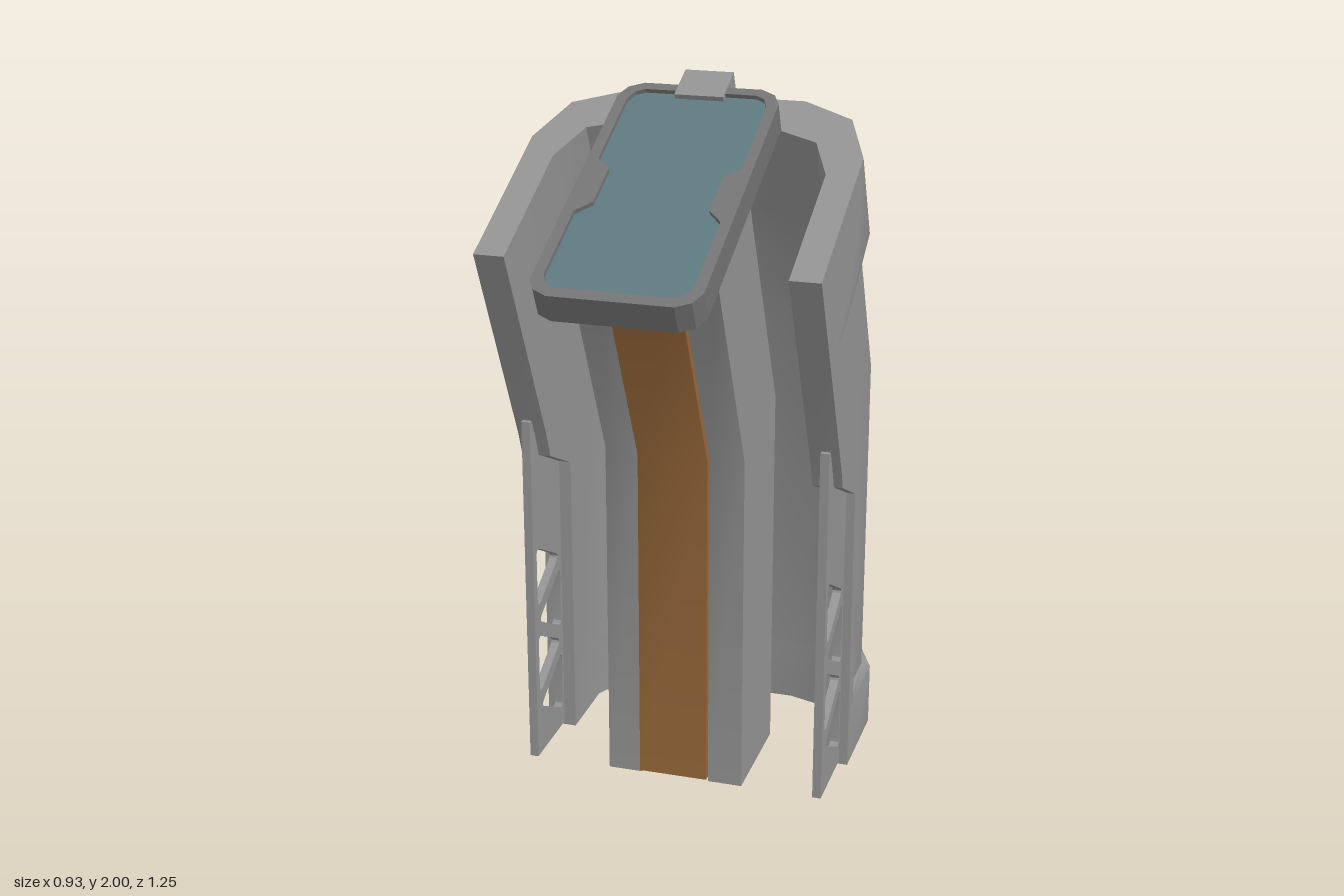
import * as THREE from 'three';
import { toCreasedNormals } from 'three/addons/utils/BufferGeometryUtils.js';

const GREY = 0x939393, DARK = 0x747474, ORANGE = 0x98683a, TEAL = 0x5d797e;
const LEAN = 0.477; // forward lean of the upper half, dz per dy
const SMOOTH = 0.8; // crease angle that keeps only the square edges sharp

function part(name, geometry, color = GREY, crease = 0.35) {
  const mesh = new THREE.Mesh(
    toCreasedNormals(geometry, crease),
    new THREE.MeshStandardMaterial({ color })
  );
  mesh.name = name;
  return mesh;
}

// Height of the elbow for a line that starts at depth z
const bend = z => 1.05 - (z + 0.185) * (z > -0.185 ? 0.175 : 0.5);
const level = y => () => y;
// Height at which a leaning line meets the sloped plane y = c - s * z
const slope = (c, s = 0.47) => z => (c - s * z + s * LEAN * bend(z)) / (1 + s * LEAN);
const collarFoot = slope(1.44), collarEdge = slope(1.485), shellTop = slope(1.77), barTop = slope(1.792, 0.455);

// Place a section [x, z] at heights given by a rule, following the elbow
const ring = (pts, heightAt) => pts.map(([x, z]) => {
  const y = heightAt(z);
  return [x, y, z + Math.max(0, y - bend(z)) * LEAN];
});

// Skin closed rings from bottom to top, with end caps
function loft(rings) {
  const flat = r => r.map(p => new THREE.Vector2(p[0], p[2]));
  if (THREE.ShapeUtils.area(flat(rings[0])) < 0) rings = rings.map(r => [...r].reverse());
  const n = rings[0].length, last = rings.length - 1, index = [];
  for (let k = 0; k < last; k++) {
    for (let i = 0; i < n; i++) {
      const a = k * n + i, b = k * n + (i + 1) % n;
      index.push(a, a + n, b, b, a + n, b + n);
    }
  }
  for (const [a, b, c] of THREE.ShapeUtils.triangulateShape(flat(rings[0]), [])) {
    index.push(a, b, c, last * n + a, last * n + c, last * n + b);
  }
  const g = new THREE.BufferGeometry();
  g.setAttribute('position', new THREE.Float32BufferAttribute(rings.flat(2), 3));
  g.setIndex(index);
  return g;
}

const mirrorPath = half => [...half, ...[...half].reverse().map(([x, z]) => [-x, z])];

// U-shaped section: outer half path, and the shared inner half path
function uSection(outer, endZ) {
  const inner = [[0.38, endZ], [0.38, -0.35], [0.325, -0.468], [0.2, -0.51]];
  return [...mirrorPath(outer), ...mirrorPath(inner).reverse()];
}
const thick = [[0.465, -0.185], [0.465, -0.42], [0.4, -0.565], [0.255, -0.626]];
const thin = [[0.445, -0.39], [0.38, -0.54], [0.255, -0.6]];
const fullU = endZ => uSection([[0.465, endZ], ...thick], endZ);
const taperU = endZ => uSection([[0.465, endZ], [0.465, -0.185], ...thin], endZ);

const rect = (x0, x1, z0, z1) => [[x0, z0], [x1, z0], [x1, z1], [x0, z1]];

// Polygon with softly rounded corners
function roundedPath(points, r) {
  const v = points.map(p => new THREE.Vector2(...p)), path = new THREE.Path();
  v.forEach((p, i) => {
    const prev = v[(i + v.length - 1) % v.length], next = v[(i + 1) % v.length];
    const a = p.clone().add(prev.clone().sub(p).setLength(r));
    const b = p.clone().add(next.clone().sub(p).setLength(r));
    if (i) path.lineTo(a.x, a.y); else path.moveTo(a.x, a.y);
    path.quadraticCurveTo(p.x, p.y, b.x, b.y);
  });
  path.closePath();
  return path;
}

// Thin side panel with a row of alternating triangular cut-outs
function latticeGeometry() {
  const shape = new THREE.Shape(rect(-0.14, 0.1, 0.01, 1.06).map(p => new THREE.Vector2(...p)));
  for (let i = 0; i < 4; i++) {
    const y = 0.572 - i * 0.138, [base, tip] = i % 2 ? [-0.118, 0.065] : [0.073, -0.112];
    shape.holes.push(roundedPath([[base, y - 0.097], [base, y + 0.097], [tip, y]], 0.03));
  }
  return new THREE.ExtrudeGeometry(shape, { depth: 0.025, bevelEnabled: false, curveSegments: 4 })
    .rotateY(-Math.PI / 2);
}

// Flat slab lying in the xz plane between heights y0 and y1
function slab(outline, y0, y1, hole) {
  const toVec = list => list.map(p => new THREE.Vector2(...p));
  const shape = new THREE.Shape(toVec(outline));
  if (hole) shape.holes.push(new THREE.Path(toVec(hole)));
  return new THREE.ExtrudeGeometry(shape, { depth: y1 - y0, bevelEnabled: false })
    .rotateX(-Math.PI / 2).translate(0, y0, 0);
}

function createLid() {
  const lid = new THREE.Group();
  lid.name = 'lid';
  const rim = mirrorPath([[0.165, -0.446], [0.205, -0.425], [0.225, -0.385],
    [0.225, 0.385], [0.205, 0.425], [0.165, 0.446]]);
  const opening = mirrorPath([[0.155, -0.412], [0.18, -0.4], [0.195, -0.365], [0.195, -0.115], [0.155, -0.073],
    [0.155, 0.066], [0.195, 0.104], [0.195, 0.37], [0.18, 0.405], [0.155, 0.418]]);
  lid.add(
    part('lidBase', slab(rim, -0.082, -0.03), DARK),
    part('lidRim', slab(rim, -0.03, 0, opening), DARK),
    part('lidPane', slab(opening, -0.03, -0.012), TEAL),
    part('hinge', new THREE.BoxGeometry(0.137, 0.11, 0.115).translate(0, -0.053, -0.457))
  );
  lid.position.set(0, 1.785, 0.215);
  lid.rotation.x = THREE.MathUtils.degToRad(24.5);
  return lid;
}

export function createModel() {
  const model = new THREE.Group();
  model.name = 'bentSheath';

  // Shell: recessed body between a base band and a collar
  const body = uSection([[0.445, -0.185], ...thin], -0.185);
  model.add(
    part('shellBody', loft([ring(body, level(0.19)), ring(body, bend), ring(body, collarFoot)]), GREY, SMOOTH),
    part('baseBand', loft([ring(fullU(-0.13), level(0)), ring(fullU(-0.13), level(0.185)),
      ring(taperU(-0.13), level(0.205))]), GREY, SMOOTH),
    part('collar', loft([ring(taperU(0.06), collarFoot), ring(fullU(0.06), collarEdge),
      ring(fullU(0.06), shellTop)]), GREY, SMOOTH)
  );

  // Side trims, upper cheeks and lattice panels on both sides
  for (const [side, s] of [['left', 1], ['right', -1]]) {
    const strip = (z0, z1) => rect(0.38 * s, 0.465 * s, z0, z1);
    const trim = strip(-0.185, -0.13), cheek = strip(-0.13, 0.06);
    const lattice = part(side + 'Lattice', latticeGeometry());
    lattice.position.x = s > 0 ? 0.44 : -0.415;
    model.add(
      part(side + 'Trim', loft([ring(trim, level(0.18)), ring(trim, bend), ring(trim, collarEdge)])),
      part(side + 'Cheek', loft([ring(strip(-0.13, 0.035), z => (z > 0 ? 0.94 : 0.86)),
        ring(cheek, bend), ring(cheek, collarEdge)])),
      lattice
    );
    // Grey side rail of the inner bar
    const rail = rect(0.1 * s, 0.2 * s, -0.25, 0.08);
    model.add(part(side + 'Rail', loft([ring(rail, level(0)), ring(rail, bend), ring(rail, barTop)]), GREY, SMOOTH));
  }

  // Coloured core standing slightly proud of the rails
  const core = rect(-0.1, 0.1, -0.245, 0.1);
  model.add(part('barCore', loft([ring(core, level(0.015)), ring(core, bend), ring(core, barTop)]), ORANGE, SMOOTH));

  model.add(createLid());
  return model;
}
